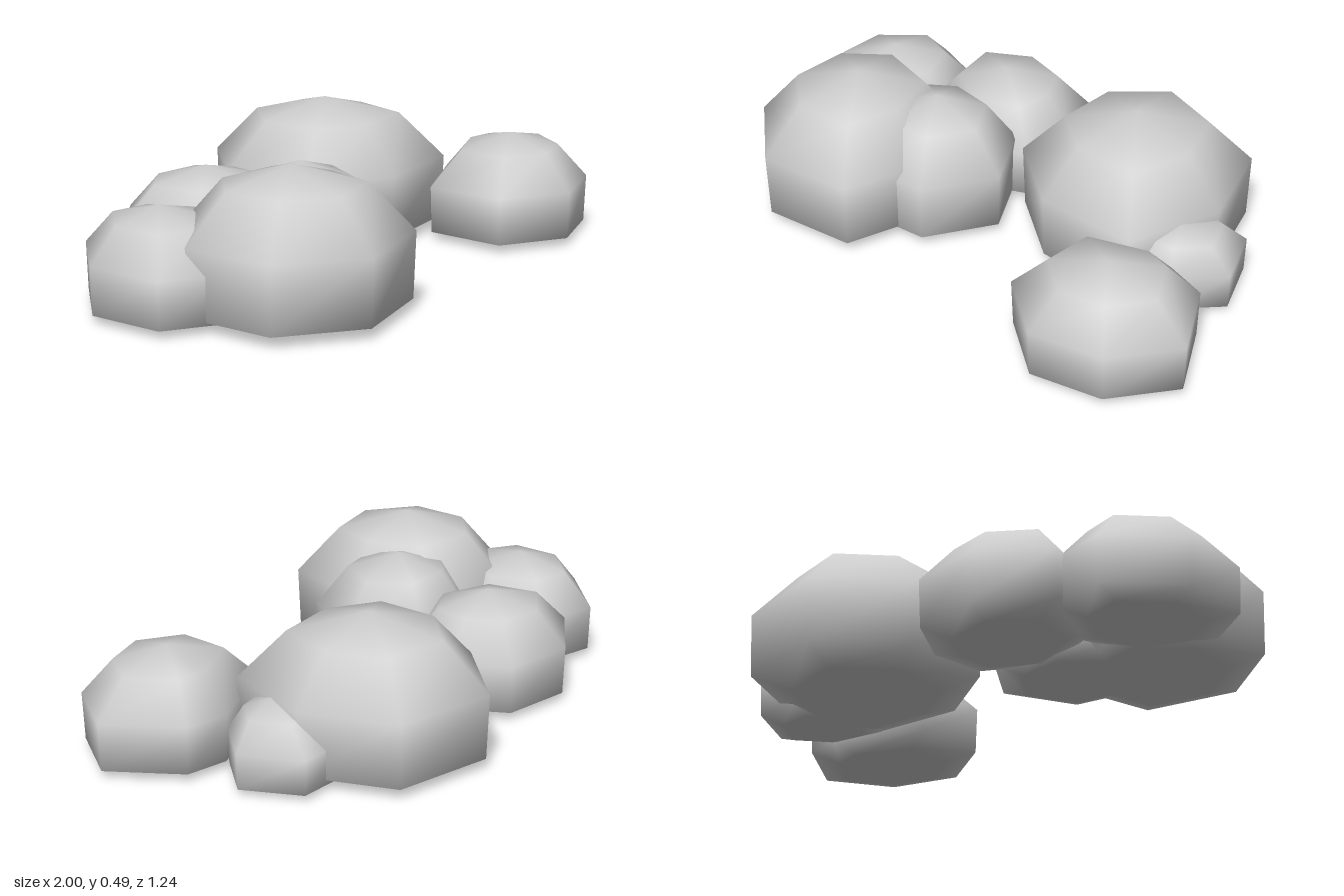
import * as THREE from 'three';

// Cross-sections of every boulder from top to base: [share of outline, share of height]
const RINGS = [[0.62, 0.87], [1, 0.54], [0.98, 0.08], [0.64, 0]];

// Boulders: apex x, apex z, height and a seven-sided outline (clockwise from above)
const ROCKS = [
  ['largeBackRock', 0.3, -0.22, 0.485,
    [[0.2, -0.625], [0.55, -0.535], [0.67, -0.22], [0.57, 0.11], [0.21, 0.135], [-0.05, -0.04], [-0.05, -0.38]]],
  ['largeFrontRock', -0.55, 0.25, 0.487,
    [[-0.66, -0.1], [-0.32, -0.03], [-0.22, 0.27], [-0.3, 0.555], [-0.63, 0.615], [-0.88, 0.41], [-0.88, 0.09]]],
  ['middleRock', -0.31, 0.11, 0.428,
    [[-0.15, -0.11], [-0.015, 0.11], [-0.15, 0.35], [-0.4, 0.39], [-0.58, 0.23], [-0.57, 0], [-0.4, -0.13]]],
  ['backRock', -0.34, -0.25, 0.365,
    [[-0.63, -0.38], [-0.4, -0.53], [-0.15, -0.48], [-0.05, -0.29], [-0.08, -0.09], [-0.3, 0.02], [-0.57, -0.1]]],
  ['sideRock', -0.76, -0.11, 0.345,
    [[-1, -0.19], [-0.79, -0.39], [-0.58, -0.33], [-0.48, -0.1], [-0.58, 0.13], [-0.83, 0.2], [-1, 0.08]]],
  ['frontRock', 0.67, 0.32, 0.357,
    [[0.7, 0.045], [0.85, 0.08], [1, 0.32], [0.85, 0.535], [0.6, 0.605], [0.38, 0.455], [0.39, 0.17]]],
  ['smallRock', 0.63, -0.08, 0.262,
    [[0.73, -0.3], [0.825, -0.1], [0.69, 0.05], [0.5, 0.08], [0.42, -0.03], [0.42, -0.2], [0.56, -0.31]]],
];

// Smooth dome built from scaled outlines, closed by an apex and a flat base
function rockGeometry(cx, cz, height, outline) {
  const n = outline.length;
  const positions = [cx, height, cz];
  const index = [];
  for (const [spread, level] of RINGS) {
    for (const [x, z] of outline) {
      positions.push(cx + (x - cx) * spread, height * level, cz + (z - cz) * spread);
    }
  }
  positions.push(cx, 0, cz);
  const last = RINGS.length - 1;
  const base = 1 + RINGS.length * n;
  const at = (ring, j) => 1 + ring * n + (j % n);
  for (let j = 0; j < n; j++) {
    index.push(0, at(0, j + 1), at(0, j));
    for (let r = 0; r < last; r++) {
      const a = at(r, j), b = at(r, j + 1), c = at(r + 1, j), d = at(r + 1, j + 1);
      index.push(a, b, d, a, d, c);
    }
    index.push(base, at(last, j), at(last, j + 1));
  }
  const geometry = new THREE.BufferGeometry();
  geometry.setAttribute('position', new THREE.Float32BufferAttribute(positions, 3));
  geometry.setIndex(index);
  geometry.computeVertexNormals();
  return geometry;
}

export function createModel() {
  const group = new THREE.Group();
  group.name = 'rockCluster';
  const stone = new THREE.MeshStandardMaterial({ color: 0xcecece });
  stone.name = 'pale stone grey';
  for (const [name, x, z, height, outline] of ROCKS) {
    const rock = new THREE.Mesh(rockGeometry(x, z, height, outline), stone);
    rock.name = name;
    group.add(rock);
  }
  return group;
}
